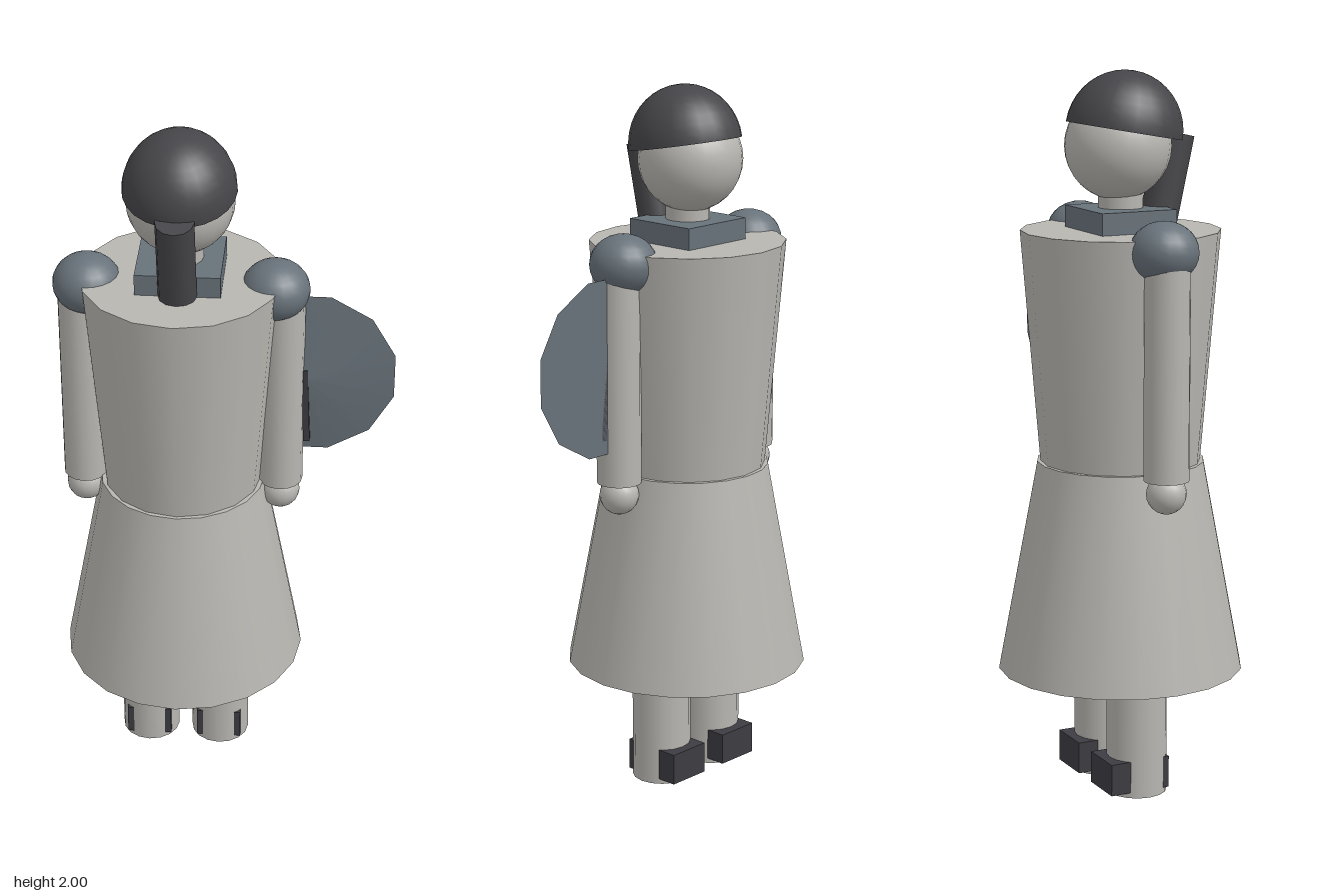
import * as THREE from 'three';

export function createModel() {
  const group = new THREE.Group();
  group.name = 'guardFigure';
  const material = (name, color) => {
    const m = new THREE.MeshStandardMaterial({ color });
    m.name = name;
    return m;
  };
  const pale = material('paleGrey', 0xb8b6b1);
  const steel = material('steelGrey', 0x68727a);
  const dark = material('hairCharcoal', 0x464549);
  const leather = material('darkLeather', 0x3d3c42);
  const hairMat = dark.clone();
  hairMat.name = 'hairCharcoalOpen';
  hairMat.side = THREE.DoubleSide;

  const cx = -0.12; // body axis
  const add = (name, geo, mat, x, y, z) => {
    const m = new THREE.Mesh(geo, mat);
    m.name = name;
    m.position.set(x, y, z);
    group.add(m);
    return m;
  };
  // upright tapered cylinder between two heights
  const column = (name, rTop, rBottom, y0, y1, sides, mat, x, z = 0) =>
    add(name, new THREE.CylinderGeometry(rTop, rBottom, y1 - y0, sides), mat, x, (y0 + y1) / 2, z);

  // clothing
  column('skirt', 0.232, 0.343, 0.34, 0.93, 20, pale, cx);
  column('torso', 0.275, 0.222, 0.93, 1.57, 16, pale, cx);
  add('collar', new THREE.BoxGeometry(0.23, 0.06, 0.225), steel, cx, 1.6, 0);

  // neck and head, with the face towards the back
  column('neck', 0.062, 0.062, 1.57, 1.69, 16, pale, cx);
  add('head', new THREE.SphereGeometry(0.146, 24, 16), pale, cx, 1.797, -0.009);

  // hair cap, tipped up over the face
  const cap = add('hairCap', new THREE.SphereGeometry(1, 24, 10, 0, Math.PI * 2, 0, Math.PI / 2),
    hairMat, cx, 1.836, 0.01);
  cap.scale.set(0.153, 0.164, 0.162);
  cap.rotation.x = 0.18;
  const tail = add('ponytail', new THREE.CylinderGeometry(0.052, 0.052, 0.27, 12), dark, cx, 1.693, 0.138);
  tail.rotation.x = 0.22;

  for (const side of [-1, 1]) {
    const tag = side > 0 ? 'left' : 'right';
    // arms
    const ax = cx + side * 0.275;
    column(tag + 'Arm', 0.062, 0.062, 0.925, 1.53, 16, pale, ax);
    add(tag + 'Hand', new THREE.SphereGeometry(0.055, 16, 12), pale, ax, 0.888, 0);
    const pad = add(tag + 'ShoulderGuard', new THREE.SphereGeometry(0.094, 20, 14), steel,
      cx + side * 0.255, 1.538, 0);
    pad.scale.y = 0.88;

    // legs, with shoe blocks whose corners show through
    const lx = cx + side * 0.104;
    column(tag + 'Leg', 0.084, 0.084, 0, 0.36, 16, pale, lx);
    add(tag + 'Shoe', new THREE.BoxGeometry(0.13, 0.09, 0.178), leather, lx, 0.06, -0.021);
  }

  // twelve-sided shallow shield beside the left arm
  const shieldGeo = new THREE.ConeGeometry(0.253, 0.03, 12);
  shieldGeo.rotateY(Math.PI / 12);
  shieldGeo.rotateX(Math.PI / 2);
  add('shield', shieldGeo, steel, 0.22, 1.265, 0);
  const grip = add('shieldGrip', new THREE.BoxGeometry(0.018, 0.23, 0.03), leather, 0.222, 1.175, 0);
  grip.rotation.z = 0.04;

  return group;
}
